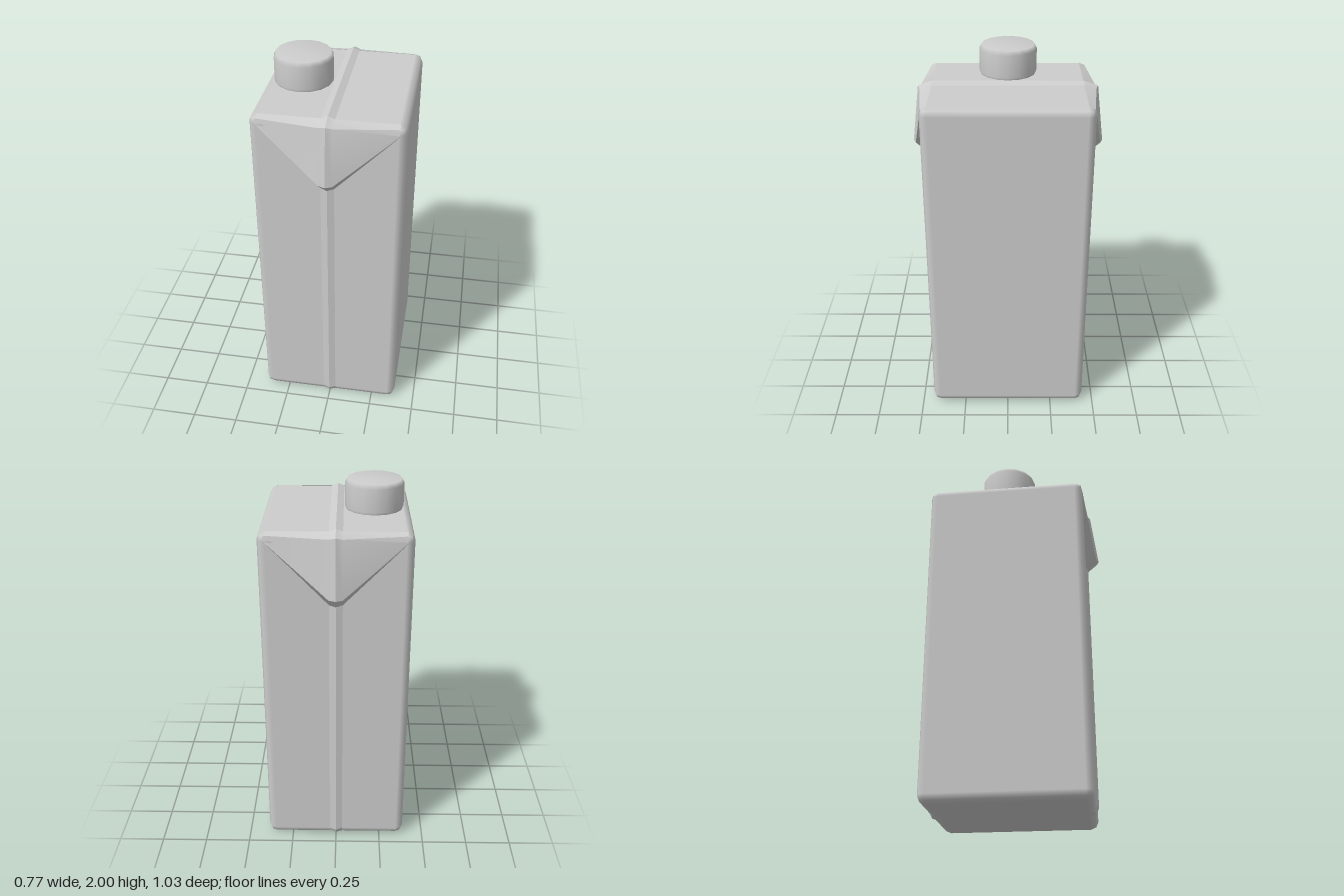
import * as THREE from 'three';
import { toCreasedNormals } from 'three/addons/utils/BufferGeometryUtils.js';
import { RoundedBoxGeometry } from 'three/addons/geometries/RoundedBoxGeometry.js';

// Skin over columns; each column is [x, [[y, z], ...]] running top to bottom
function skin(columns, crease = 0.5) {
  const rows = columns[0][1].length;
  const pos = [], index = [];
  columns.forEach(([x, pts]) => pts.forEach(([y, z]) => pos.push(x, y, z)));
  for (let i = 0; i < columns.length - 1; i++) {
    for (let j = 0; j < rows - 1; j++) {
      const a = i * rows + j, d = a + rows;
      index.push(a, a + 1, d + 1, a, d + 1, d);
    }
  }
  const geo = new THREE.BufferGeometry();
  geo.setAttribute('position', new THREE.Float32BufferAttribute(pos, 3));
  geo.setIndex(index);
  return toCreasedNormals(geo, crease);
}

export function createModel() {
  const group = new THREE.Group();
  const card = new THREE.MeshStandardMaterial({ color: 0xcccccc, side: THREE.DoubleSide });
  card.name = 'light grey';
  const add = (name, geo, parent = group) => {
    const mesh = new THREE.Mesh(geo, card);
    mesh.name = name;
    parent.add(mesh);
    return mesh;
  };

  // Carton body with softened edges
  add('body', new RoundedBoxGeometry(0.774, 1.837, 0.876, 1, 0.042)).position.y = 0.9235;

  // Raised seam across the top
  const seamHalf = 0.035;
  const topSide = [[1.842, -0.4], [1.842, 0.4]];
  add('topSeam', skin([
    [-seamHalf, topSide],
    [0, [[1.856, -0.4], [1.856, 0.4]]],
    [seamHalf, topSide],
  ], 0.2));

  // Folded corner flap: ridge in the middle, thinning towards both corners
  const ridge = [[1.856, 0.4], [1.832, 0.474], [1.52, 0.513], [1.46, 0.447]];
  const shoulder = [[1.842, 0.4], [1.822, 0.462], [1.52, 0.499], [1.468, 0.437]];
  const corner = [[1.842, 0.4], [1.829, 0.43], [1.8, 0.438], [1.79, 0.436]];
  const flap = skin([
    [-0.35, corner], [-seamHalf, shoulder], [0, ridge], [seamHalf, shoulder], [0.35, corner],
  ], 0.45);

  // Raised seam down the face, tucked under the bottom edge
  const seamSide = [[1.48, 0.438], [0.047, 0.438], [0.017, 0.426], [0.005, 0.396], [0.005, 0.36]];
  const seamRidge = [[1.48, 0.449], [0.042, 0.449], [0.012, 0.434], [0, 0.4], [0.005, 0.36]];
  const seam = skin([[-seamHalf, seamSide], [0, seamRidge], [seamHalf, seamSide]], 0.2);

  ['front', 'back'].forEach((end, i) => {
    const face = new THREE.Group();
    face.name = end + 'Fold';
    face.rotation.y = i * Math.PI;
    add(end + 'Flap', flap, face);
    add(end + 'Seam', seam, face);
    group.add(face);
  });

  // Screw cap
  const profile = [[0.15, 1.84], [0.155, 1.855], [0.155, 1.975], [0.143, 1.998], [0, 2]]
    .map(([r, y]) => new THREE.Vector2(r, y));
  add('cap', new THREE.LatheGeometry(profile, 16)).position.x = -0.195;

  return group;
}
